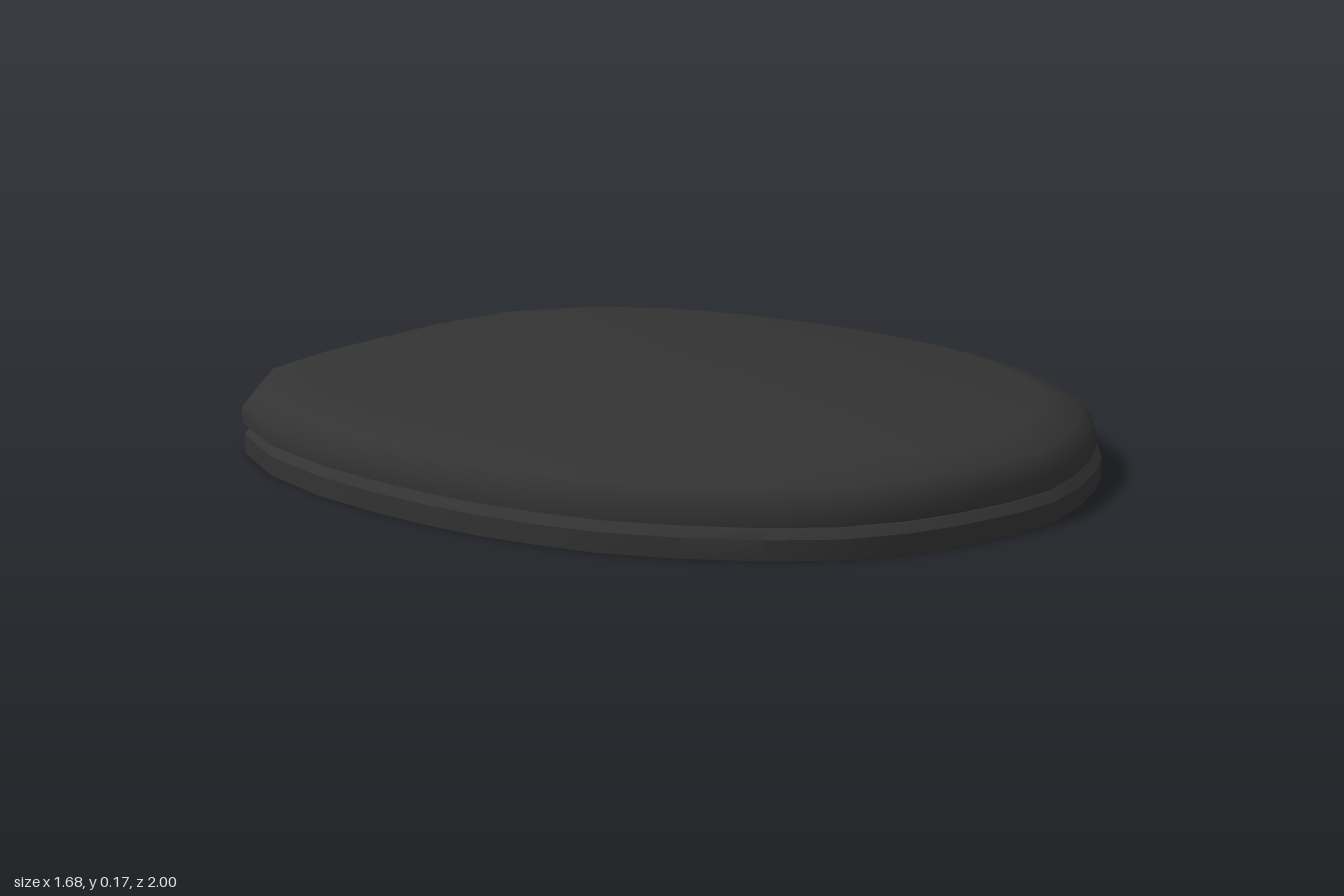
import * as THREE from 'three';
import { toCreasedNormals } from 'three/addons/utils/BufferGeometryUtils.js';

// Half of the plan outline (x, z), front tip to back, normalised to x 0.84, z -1..1
const HALF = [
  [0, 1], [0.14, 0.98], [0.29, 0.935], [0.40, 0.885], [0.52, 0.80], [0.62, 0.68],
  [0.71, 0.53], [0.78, 0.37], [0.815, 0.22], [0.835, 0.08], [0.84, -0.06], [0.833, -0.22],
  [0.81, -0.41], [0.75, -0.625], [0.64, -0.825], [0.44, -0.965], [0.20, -1],
];
const OUTLINE = [...HALF, ...HALF.slice(1).reverse().map(([x, z]) => [-x, z])];

// Skin a list of rings [halfWidth, back, front, y]; a ring of width 0 is a cap centre
function loft(rings, closed = false) {
  const n = OUTLINE.length;
  const positions = [];
  const index = [];
  for (const [w, back, front, y] of rings) {
    for (const [x, z] of OUTLINE) positions.push(x * w / 0.84, y, z * (z < 0 ? back : front));
  }
  const spans = closed ? rings.length : rings.length - 1;
  for (let r = 0; r < spans; r++) {
    const s = (r + 1) % rings.length;
    for (let i = 0; i < n; i++) {
      const j = (i + 1) % n;
      const a = r * n + i, b = r * n + j, c = s * n + j, d = s * n + i;
      if (rings[r][0] > 0) index.push(a, b, c);
      if (rings[s][0] > 0) index.push(a, c, d);
      else if (rings[r][0] > 0) continue;
    }
  }
  const geometry = new THREE.BufferGeometry();
  geometry.setAttribute('position', new THREE.Float32BufferAttribute(positions, 3));
  geometry.setIndex(index);
  return toCreasedNormals(geometry, 0.75);
}

export function createModel() {
  const model = new THREE.Group();
  model.name = 'toiletSeat';
  const material = new THREE.MeshStandardMaterial({ color: 0x333333 });

  // Seat ring: outer wall, bevelled top edge, central opening
  const seat = new THREE.Mesh(loft([
    [0.84, 0.98, 1, 0],
    [0.84, 0.98, 1, 0.045],
    [0.822, 0.962, 0.982, 0.064],
    [0.51, 0.60, 0.61, 0.064],
    [0.51, 0.60, 0.61, 0],
  ], true), material);
  seat.name = 'seatRing';

  // Lid: flat underside, upright rim, softly rounded shoulder, flat top
  const lid = new THREE.Mesh(loft([
    [0, 0, 0, 0.067],
    [0.826, 1, 0.985, 0.067],
    [0.826, 1, 0.985, 0.105],
    [0.80, 0.965, 0.955, 0.145],
    [0.71, 0.84, 0.86, 0.17],
    [0, 0, 0, 0.17],
  ]), material);
  lid.name = 'lid';

  model.add(seat, lid);
  return model;
}
